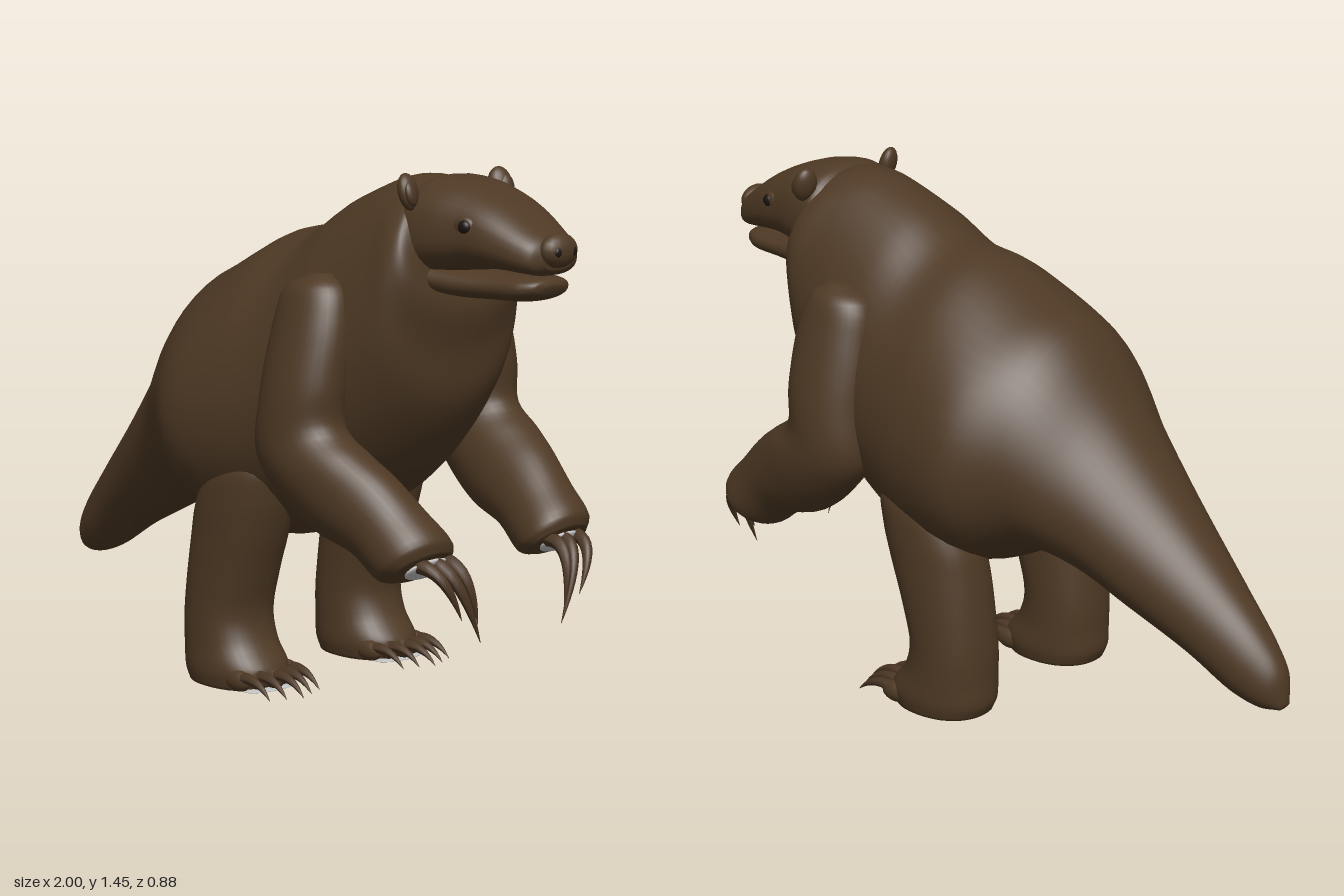
import * as THREE from 'three';

const material = (name, color) => {
  const m = new THREE.MeshStandardMaterial({ color });
  m.name = name;
  return m;
};

// Smooth skin through oval sections [ax, ay, bx, by, zCentre, halfWidth];
// a and b are opposite edges of the section in the side plane.
function loft(sections, { side = 1, sag = 0, power = 1, rows = 5, cols = 36 } = {}) {
  const curve = (f) => new THREE.CatmullRomCurve3(sections.map(f));
  const ca = curve((s) => new THREE.Vector3(s[0], s[1], 0));
  const cb = curve((s) => new THREE.Vector3(s[2], s[3], 0));
  const cw = curve((s, i) => new THREE.Vector3(s[4] * side, s[5], i * 0.1));
  const n = (sections.length - 1) * rows;
  const pos = [], idx = [];
  const soft = (v) => Math.sign(v) * Math.abs(v) ** power;
  for (let i = 0; i <= n; i++) {
    const a = ca.getPoint(i / n), b = cb.getPoint(i / n), w = cw.getPoint(i / n);
    for (let j = 0; j < cols; j++) {
      const t = (j / cols) * Math.PI * 2, c = soft(Math.cos(t)), s = soft(Math.sin(t));
      pos.push((a.x + b.x) / 2 + ((a.x - b.x) / 2) * c, (a.y + b.y) / 2 + ((a.y - b.y) / 2) * c,
        w.x + w.y * s * (1 - sag * c));
      if (i < n) {
        const p = i * cols + j, q = i * cols + ((j + 1) % cols);
        idx.push(p, q, p + cols, q, q + cols, p + cols);
      }
    }
  }
  // end caps
  for (const i of [0, n]) {
    const a = ca.getPoint(i / n), b = cb.getPoint(i / n), w = cw.getPoint(i / n);
    const k = pos.length / 3;
    pos.push((a.x + b.x) / 2, (a.y + b.y) / 2, w.x);
    for (let j = 0; j < cols; j++) {
      const p = i * cols + j, q = i * cols + ((j + 1) % cols);
      if (i === 0) idx.push(k, q, p);
      else idx.push(k, p, q);
    }
  }
  const g = new THREE.BufferGeometry();
  g.setAttribute('position', new THREE.Float32BufferAttribute(pos, 3));
  g.setIndex(idx);
  g.computeVertexNormals();
  return g;
}

// Curved claw tapering to a point
function claw(p0, p1, p2, radius) {
  const path = new THREE.QuadraticBezierCurve3(...[p0, p1, p2].map((p) => new THREE.Vector3(...p)));
  const n = 12, r = 10;
  const g = new THREE.TubeGeometry(path, n, radius, r);
  const p = g.attributes.position, v = new THREE.Vector3();
  for (let i = 0; i <= n; i++) {
    const c = path.getPointAt(i / n), k = 1 - 0.97 * (i / n) ** 1.5;
    for (let j = 0; j <= r; j++) {
      const q = i * (r + 1) + j;
      v.fromBufferAttribute(p, q).sub(c).multiplyScalar(k).add(c);
      p.setXYZ(q, v.x, v.y, v.z);
    }
  }
  g.computeVertexNormals();
  return g;
}

export function createModel() {
  const model = new THREE.Group();
  model.name = 'giantSloth';
  const fur = material('brown fur', 0x4e3924);
  const horn = material('claw brown', 0x4a3523);
  const dark = material('dark eye', 0x1c1511);
  const pale = material('pale pad', 0xc4c4c4);

  const add = (name, geometry, mat) => {
    const m = new THREE.Mesh(geometry, mat);
    m.name = name;
    model.add(m);
    return m;
  };
  const ball = (name, mat, [x, y, z], [sx, sy, sz], rotZ = 0, rotY = 0) => {
    const m = add(name, new THREE.SphereGeometry(1, 20, 14), mat);
    m.position.set(x, y, z);
    m.scale.set(sx, sy, sz);
    m.rotation.set(0, rotY, rotZ);
    return m;
  };

  // Tail, trunk and neck in one skin
  add('body', loft([
    [-1.0, 0.21, -0.985, 0.19, 0, 0.02],
    [-0.985, 0.30, -0.93, 0.185, 0, 0.06],
    [-0.93, 0.38, -0.85, 0.21, 0, 0.09],
    [-0.8, 0.52, -0.72, 0.29, 0, 0.13],
    [-0.6, 0.73, -0.55, 0.375, 0, 0.19],
    [-0.42, 0.93, -0.40, 0.45, 0, 0.25],
    [-0.27, 1.11, -0.26, 0.48, 0, 0.33],
    [-0.13, 1.18, -0.11, 0.42, 0, 0.41],
    [0.03, 1.26, 0.04, 0.395, 0, 0.40],
    [0.16, 1.29, 0.2, 0.45, 0, 0.37],
    [0.27, 1.36, 0.38, 0.56, 0, 0.335],
    [0.37, 1.405, 0.52, 0.70, 0, 0.30],
    [0.46, 1.435, 0.61, 0.84, 0, 0.27],
    [0.53, 1.44, 0.635, 0.98, 0, 0.25],
    [0.57, 1.43, 0.66, 1.09, 0, 0.22],
    [0.60, 1.40, 0.65, 1.16, 0, 0.17],
  ], { sag: 0.14, cols: 48 }), fur);

  // Head with long muzzle, and lower jaw
  add('head', loft([
    [0.54, 1.40, 0.56, 1.22, 0, 0.165],
    [0.58, 1.44, 0.60, 1.18, 0, 0.185],
    [0.66, 1.44, 0.68, 1.19, 0, 0.175],
    [0.74, 1.42, 0.75, 1.205, 0, 0.155],
    [0.82, 1.385, 0.82, 1.21, 0, 0.14],
    [0.90, 1.335, 0.90, 1.205, 0, 0.115],
    [0.95, 1.30, 0.945, 1.205, 0, 0.09],
    [0.97, 1.27, 0.965, 1.22, 0, 0.05],
  ], { power: 0.8, sag: 0.08 }), fur);
  add('lowerJaw', loft([
    [0.58, 1.24, 0.60, 1.145, 0, 0.16],
    [0.66, 1.22, 0.67, 1.13, 0, 0.145],
    [0.80, 1.205, 0.80, 1.13, 0, 0.11],
    [0.90, 1.203, 0.90, 1.135, 0, 0.092],
    [0.945, 1.195, 0.94, 1.15, 0, 0.065],
    [0.955, 1.18, 0.95, 1.165, 0, 0.03],
  ], { power: 0.85 }), fur);
  ball('nose', fur, [0.965, 1.27, 0], [0.035, 0.045, 0.062]);

  for (const s of [1, -1]) {
    const side = s > 0 ? 'Right' : 'Left';

    // Face details
    ball('nostril' + side, dark, [0.992, 1.268, s * 0.028], [0.006, 0.012, 0.012]);
    ball('eyelid' + side, fur, [0.765, 1.325, s * 0.137], [0.034, 0.027, 0.016], 0, s * 0.2);
    ball('eye' + side, dark, [0.772, 1.325, s * 0.145], [0.019, 0.018, 0.013]);
    ball('ear' + side, fur, [0.595, 1.405, s * 0.172], [0.024, 0.05, 0.036], 0.25, s * 0.3);
    ball('earInner' + side, horn, [0.612, 1.402, s * 0.178], [0.014, 0.034, 0.024], 0.25, s * 0.3);

    // Arm hanging from the shoulder, forearm reaching forward
    add('arm' + side, loft([
      [0.40, 1.185, 0.34, 1.18, 0.27, 0.03],
      [0.455, 1.15, 0.26, 1.14, 0.275, 0.075],
      [0.485, 1.05, 0.235, 1.02, 0.295, 0.095],
      [0.49, 0.90, 0.228, 0.85, 0.325, 0.105],
      [0.49, 0.79, 0.225, 0.69, 0.33, 0.11],
      [0.57, 0.73, 0.30, 0.59, 0.32, 0.115],
      [0.65, 0.675, 0.42, 0.50, 0.30, 0.112],
      [0.73, 0.60, 0.55, 0.455, 0.28, 0.108],
      [0.80, 0.53, 0.645, 0.395, 0.265, 0.115],
      [0.80, 0.49, 0.69, 0.40, 0.26, 0.095],
    ], { side: s }), fur);
    ball('palmPad' + side, pale, [0.758, 0.445, s * 0.255], [0.045, 0.012, 0.075], 0.75);
    [[0.295, 0.225, 0.32], [0.245, 0.155, 0.25], [0.2, 0.165, 0.3]].forEach(([z0, z1, y], i) =>
      add('handClaw' + side + i, claw([0.755, 0.46, s * z0], [0.86, 0.47, s * z0],
        [0.855, y, s * z1], 0.021), horn));

    // Leg and flat foot
    add('leg' + side, loft([
      [0.12, 0.69, 0.04, 0.67, 0.28, 0.03],
      [0.19, 0.64, -0.06, 0.59, 0.27, 0.09],
      [0.19, 0.55, -0.11, 0.50, 0.255, 0.115],
      [0.165, 0.45, -0.13, 0.41, 0.25, 0.12],
      [0.12, 0.32, -0.145, 0.30, 0.25, 0.12],
      [0.09, 0.20, -0.155, 0.18, 0.25, 0.12],
      [0.11, 0.125, -0.155, 0.10, 0.25, 0.122],
      [0.16, 0.055, -0.155, 0.04, 0.25, 0.126],
      [0.15, 0.004, -0.14, 0.004, 0.25, 0.118],
    ], { side: s, power: 0.9 }), fur);
    ball('solePad' + side, pale, [-0.01, 0.006, s * 0.25], [0.055, 0.005, 0.045]);
    ball('toePad' + side, pale, [0.135, 0.006, s * 0.25], [0.045, 0.005, 0.09]);
    for (let i = -2; i <= 2; i++) {
      const z = s * 0.25 + i * 0.045, x = 0.145 - Math.abs(i) * 0.018;
      ball('toe' + side + (i + 2), fur, [x, 0.035, z], [0.05, 0.03, 0.024]);
      add('footClaw' + side + (i + 2), claw([x + 0.01, 0.04, z], [x + 0.08, 0.065, z * 1.01],
        [x + 0.14, 0.004, z * 1.02], 0.018), horn);
    }
  }
  return model;
}
